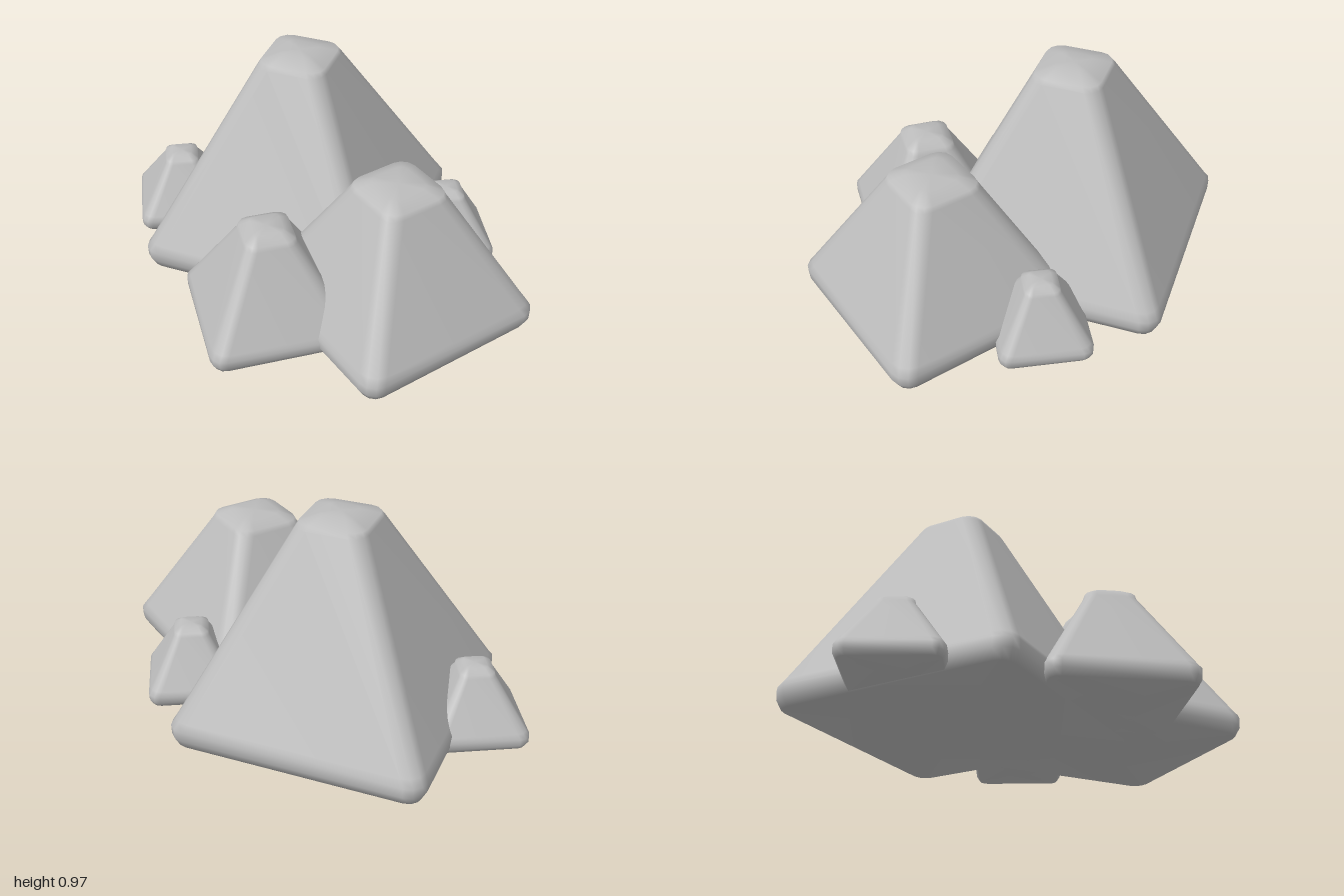
import * as THREE from 'three';

const CORNER_STEPS = 3;

// Corner-rounded square outline, turned by `angle` in the ground plane
function outline(half, radius, angle) {
  const points = [];
  const c = Math.cos(angle), s = Math.sin(angle);
  for (let q = 0; q < 4; q++) {
    const mid = Math.PI / 4 + q * Math.PI / 2;
    const cx = Math.sign(Math.cos(mid)) * (half - radius);
    const cz = Math.sign(Math.sin(mid)) * (half - radius);
    for (let k = 0; k <= CORNER_STEPS; k++) {
      const t = q * Math.PI / 2 + (k / CORNER_STEPS) * Math.PI / 2;
      const x = cx + radius * Math.cos(t), z = cz + radius * Math.sin(t);
      points.push([x * c - z * s, x * s + z * c]);
    }
  }
  return points;
}

// Bevelled pyramid-like boulder made from stacked outlines, smooth normals
function rockGeometry({ base, shoulder, flat, height, bevel, rim, round, turn, foot }) {
  const angle = THREE.MathUtils.degToRad(turn);
  const lip = rim * 0.3;
  const rings = [
    [foot, base - lip, round * 0.75],
    [rim * 0.5, base - lip * 0.15, round],
    [rim, base - lip * 0.1, round],
    [rim * 1.35, base - lip * 0.75, round],
    [height - bevel, shoulder, shoulder * 0.42],
    [height - bevel * 0.55, shoulder * 0.87 + flat * 0.13, shoulder * 0.4],
    [height, flat, flat * 0.35],
  ];
  const positions = [], index = [];
  const n = 4 * (CORNER_STEPS + 1);
  for (const [y, half, radius] of rings) {
    for (const [x, z] of outline(half, radius, angle)) positions.push(x, y, z);
  }
  const bottom = rings.length * n, top = bottom + 1;
  positions.push(0, foot, 0, 0, height, 0);
  for (let j = 0; j < rings.length - 1; j++) {
    for (let i = 0; i < n; i++) {
      const a = j * n + i, b = j * n + (i + 1) % n;
      index.push(a, b + n, b, a, a + n, b + n);
    }
  }
  const last = (rings.length - 1) * n;
  for (let i = 0; i < n; i++) {
    const next = (i + 1) % n;
    index.push(bottom, i, next, top, last + next, last + i);
  }
  const geometry = new THREE.BufferGeometry();
  geometry.setAttribute('position', new THREE.Float32BufferAttribute(positions, 3));
  geometry.setIndex(index);
  geometry.computeVertexNormals();
  return geometry;
}

export function createModel() {
  const stone = new THREE.MeshStandardMaterial({ color: 0xbcbcbc });
  stone.name = 'grey stone';

  const rocks = [
    { name: 'mainRock', x: -0.235, z: -0.09, base: 0.578, shoulder: 0.16, flat: 0.068,
      height: 0.97, bevel: 0.045, rim: 0.09, round: 0.08, turn: -30, foot: 0 },
    { name: 'sideRock', x: 0.5, z: -0.02, base: 0.455, shoulder: 0.165, flat: 0.09,
      height: 0.685, bevel: 0.05, rim: 0.09, round: 0.08, turn: 6, foot: 0.004 },
    { name: 'frontRock', x: 0.19, z: 0.44, base: 0.322, shoulder: 0.115, flat: 0.065,
      height: 0.507, bevel: 0.05, rim: 0.07, round: 0.065, turn: 24, foot: 0.004 },
    { name: 'smallFrontRock', x: -0.715, z: 0.27, base: 0.217, shoulder: 0.08, flat: 0.046,
      height: 0.328, bevel: 0.037, rim: 0.06, round: 0.05, turn: 32, foot: 0.006 },
    { name: 'smallBackRock', x: 0.32, z: -0.51, base: 0.207, shoulder: 0.08, flat: 0.046,
      height: 0.328, bevel: 0.037, rim: 0.06, round: 0.05, turn: 32, foot: 0.006 },
  ];

  const group = new THREE.Group();
  group.name = 'rockCluster';
  for (const rock of rocks) {
    const mesh = new THREE.Mesh(rockGeometry(rock), stone);
    mesh.name = rock.name;
    mesh.position.set(rock.x, 0, rock.z);
    group.add(mesh);
  }
  return group;
}
